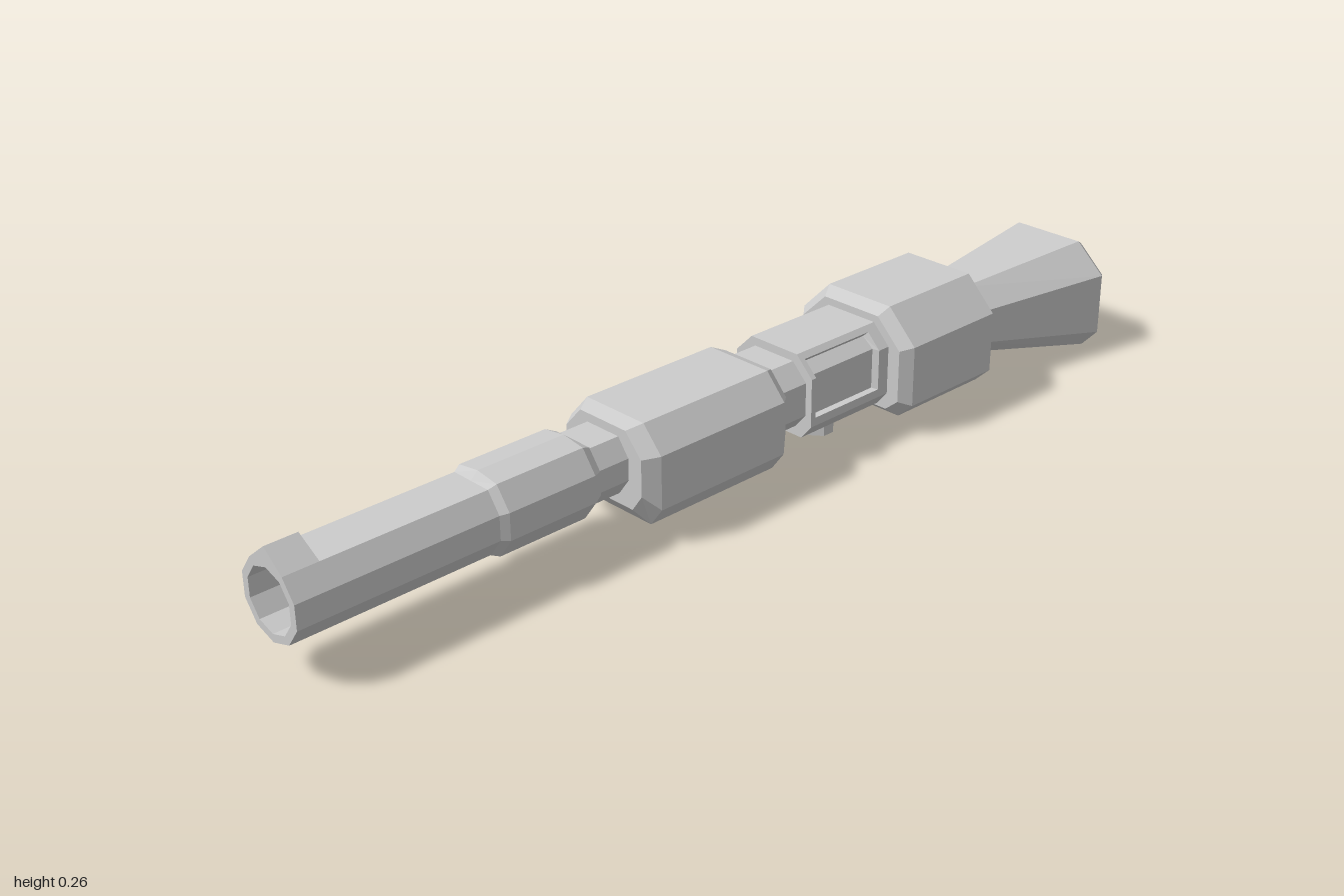
import * as THREE from 'three';

const material = new THREE.MeshStandardMaterial({ color: 0xcccccc, flatShading: true });

// Skin a list of sections (rings of [x, y, z], counter-clockwise from the front), capped at both ends.
function loft(name, sections) {
  const n = sections[0].length;
  const positions = sections.flat(2);
  const index = [];
  for (let s = 0; s < sections.length - 1; s++) {
    for (let i = 0; i < n; i++) {
      const a = s * n + i, b = s * n + (i + 1) % n;
      index.push(a, b, b + n, a, b + n, a + n);
    }
  }
  const last = (sections.length - 1) * n;
  for (let i = 1; i < n - 1; i++) {
    index.push(0, i + 1, i);
    index.push(last, last + i, last + i + 1);
  }
  const indexed = new THREE.BufferGeometry();
  indexed.setAttribute('position', new THREE.Float32BufferAttribute(positions, 3));
  indexed.setIndex(index);
  const geometry = indexed.toNonIndexed();
  geometry.computeVertexNormals();
  const mesh = new THREE.Mesh(geometry, material);
  mesh.name = name;
  return mesh;
}

// Chamfered box section: flat top, upright sides, flat bottom.
function octagon(z, topW, topY, sideW, upperY, lowerY, bottomW, bottomY) {
  return [
    [sideW, lowerY], [sideW, upperY], [topW, topY], [-topW, topY],
    [-sideW, upperY], [-sideW, lowerY], [-bottomW, bottomY], [bottomW, bottomY],
  ].map(([x, y]) => [x, y, z]);
}

// Ten-sided section; its top corner can be flattened or raised.
const AXIS_Y = 0.148;
function decagon(z, r, topY = AXIS_Y + r * Math.cos(Math.PI / 5)) {
  return Array.from({ length: 10 }, (_, i) => {
    const a = Math.PI / 2 + i * Math.PI / 5;
    return [r * Math.cos(a), i === 0 ? topY : AXIS_Y + r * Math.sin(a), z];
  });
}

// Receiver section with a port sunk by d into its left side.
function receiverSection(z, d) {
  return [
    [0.1, 0.09], [0.1, 0.107], [0.1 - d, 0.107], [0.1 - d, 0.19],
    [0.07 - 0.7 * d, 0.22 - 0.7 * d], [0.07, 0.22], [0.06, 0.23],
    [-0.06, 0.23], [-0.1, 0.19], [-0.1, 0.09], [-0.075, 0.06], [0.075, 0.06],
  ].map(([x, y]) => [x, y, z]);
}

export function createModel() {
  const model = new THREE.Group();
  model.name = 'longGun';

  // Hollow barrel, with the raised front sight at the muzzle
  model.add(loft('barrel', [
    decagon(0.55, 0.077), decagon(0.93, 0.077),
    decagon(0.935, 0.077, 0.247), decagon(1, 0.077, 0.247),
    decagon(1, 0.061, AXIS_Y + 0.061), decagon(0.7, 0.061, AXIS_Y + 0.061),
  ]));

  // Collar and the thinner neck behind it
  model.add(loft('barrelCollar', [
    decagon(0.37, 0.075), decagon(0.39, 0.086, 0.225),
    decagon(0.58, 0.086, 0.225), decagon(0.595, 0.077),
  ]));
  model.add(loft('barrelNeck', [decagon(0.27, 0.07), decagon(0.4, 0.07)]));

  // Chamfered handguard
  const guardEnd = z => octagon(z, 0.06, 0.222, 0.1, 0.178, 0.105, 0.075, 0.07);
  const guardFull = z => octagon(z, 0.075, 0.232, 0.12, 0.182, 0.075, 0.09, 0.035);
  model.add(loft('handguard', [
    guardEnd(-0.065), guardFull(-0.04), guardFull(0.27), guardEnd(0.3),
  ]));

  // Neck between handguard and receiver
  model.add(loft('receiverNeck', [-0.16, -0.05].map(z =>
    octagon(z, 0.05, 0.213, 0.085, 0.178, 0.11, 0.06, 0.08))));

  // Receiver with the sunken port
  model.add(loft('receiver', [
    receiverSection(-0.37, 0), receiverSection(-0.325, 0), receiverSection(-0.322, 0.015),
    receiverSection(-0.15, 0.015), receiverSection(-0.147, 0), receiverSection(-0.135, 0),
  ]));

  // Flared knob under the receiver
  const knobProfile = [[0, 0.015], [0.042, 0.015], [0.042, 0.038], [0.056, 0.052], [0.056, 0.065], [0, 0.065]];
  const knob = new THREE.Mesh(
    new THREE.LatheGeometry(knobProfile.map(([x, y]) => new THREE.Vector2(x, y)), 8, Math.PI / 8), material);
  knob.name = 'underKnob';
  knob.scale.set(1.06, 1, 0.82);
  knob.position.z = -0.25;
  model.add(knob);

  // Large rear block, tapering back to the stock
  const blockFull = z => octagon(z, 0.08, 0.262, 0.147, 0.195, 0.07, 0.112, 0.037);
  model.add(loft('rearBlock', [
    octagon(-0.665, 0.045, 0.218, 0.09, 0.172, 0.1, 0.06, 0.068),
    octagon(-0.645, 0.05, 0.228, 0.1, 0.178, 0.095, 0.07, 0.064),
    blockFull(-0.615), blockFull(-0.375),
    octagon(-0.352, 0.07, 0.245, 0.128, 0.188, 0.08, 0.098, 0.055),
  ]));

  // Flared stock with a bevelled butt
  model.add(loft('stock', [
    octagon(-1, 0.075, 0.222, 0.137, 0.166, 0.045, 0.104, 0.01),
    octagon(-0.985, 0.08, 0.23, 0.147, 0.17, 0.04, 0.11, 0),
    octagon(-0.65, 0.043, 0.212, 0.088, 0.168, 0.1, 0.058, 0.07),
  ]));

  return model;
}
